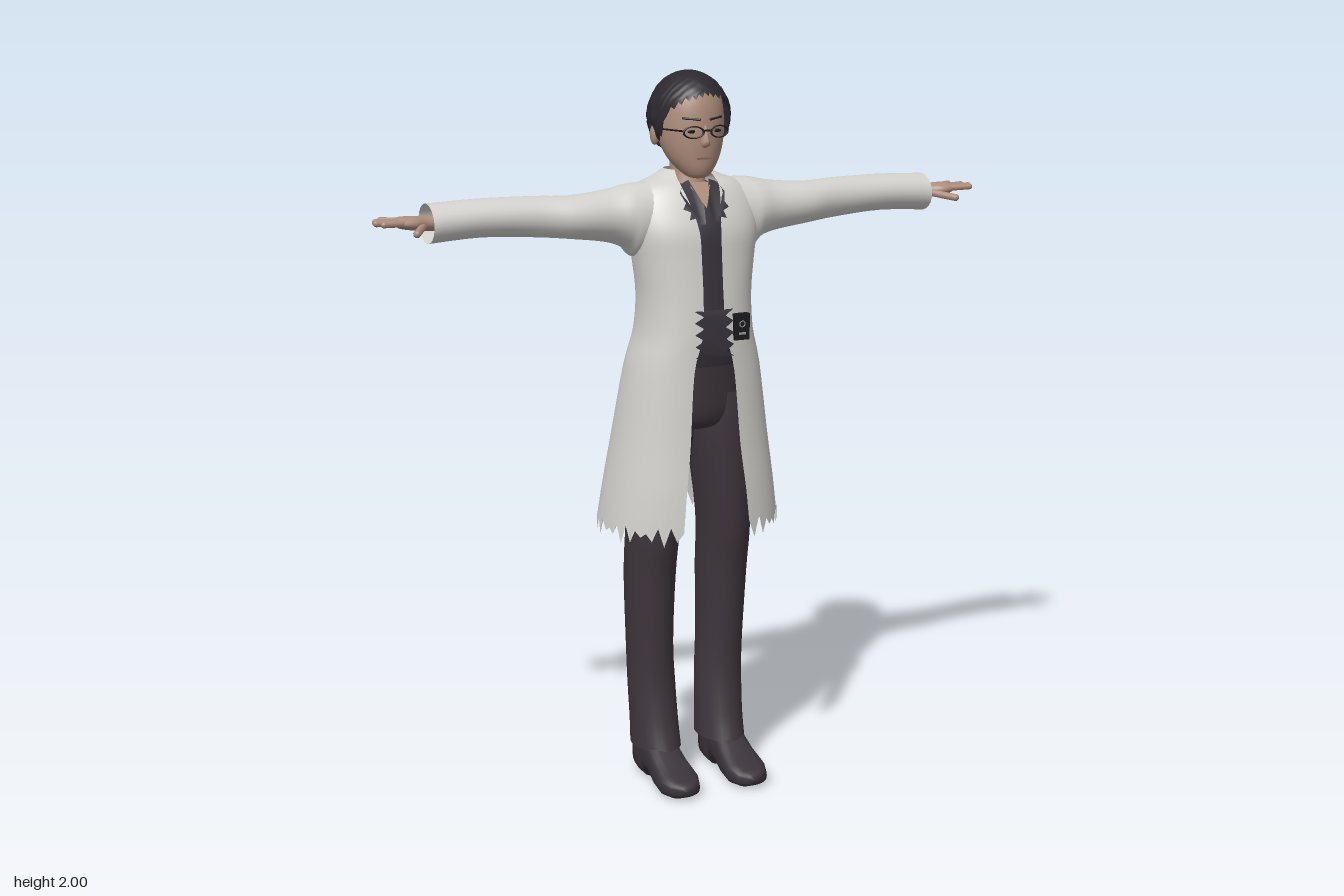
import * as THREE from 'three';
import { mergeVertices } from 'three/addons/utils/BufferGeometryUtils.js';

const mat = (name, color, side = THREE.FrontSide) => {
  const m = new THREE.MeshStandardMaterial({ color, side });
  m.name = name;
  return m;
};

// Catmull-Rom subdivision of a table of cross-sections
function refine(rows, n) {
  const out = [];
  for (let i = 0; i < rows.length - 1; i++) {
    const p = k => rows[Math.min(rows.length - 1, Math.max(0, i + k))];
    for (let s = 0; s < n; s++) {
      const t = s / n;
      out.push(p(0).map((b, c) => {
        const a = p(-1)[c], d = p(1)[c], e = p(2)[c];
        return b + 0.5 * t * (d - a + t * (2 * a - 5 * b + 4 * d - e + t * (3 * (b - d) + e - a)));
      }));
    }
  }
  out.push(rows[rows.length - 1]);
  return out;
}

// Skin a surface over rows of points; point(row, u, isLast)
function loft(rows, seg, point) {
  const pos = [], idx = [];
  rows.forEach((r, i) => {
    for (let j = 0; j <= seg; j++) pos.push(...point(r, j / seg, i === rows.length - 1, j));
  });
  for (let i = 0; i < rows.length - 1; i++) for (let j = 0; j < seg; j++) {
    const a = i * (seg + 1) + j, d = a + seg + 1;
    idx.push(a, d, a + 1, a + 1, d, d + 1);
  }
  let g = new THREE.BufferGeometry();
  g.setAttribute('position', new THREE.Float32BufferAttribute(pos, 3));
  g.setIndex(idx);
  g = mergeVertices(g, 1e-5);
  g.computeVertexNormals();
  return g;
}

const pw = (v, e) => Math.sign(v) * Math.abs(v) ** e;

// Upright body: rows of [y, centreX, halfWidth, zBack, zFront, frontGap]
const body = (rows, { n = 4, seg = 40, e = 1, hem = 0 } = {}) => loft(refine(rows, n), seg, ([y, cx, w, zb, zf, gap = 0], u, last, j) => {
  const a0 = gap ? Math.asin(Math.min(0.99, (gap / w) ** (1 / e))) : 0;
  const a = a0 + u * (2 * Math.PI - 2 * a0);
  const drop = last ? hem * ((j % 2 ? 1 : -0.6) + 0.6 * Math.sin(j * 2.3)) : 0;
  return [cx + w * pw(Math.sin(a), e), y - drop, (zf + zb) / 2 + (zf - zb) / 2 * pw(Math.cos(a), e)];
});

// Sideways limb: rows of [x, yLow, yHigh, zBack, zFront]
const limb = (rows, seg = 24) => loft(refine(rows, 4), seg, ([x, y0, y1, z0, z1], u) => {
  const a = u * 2 * Math.PI;
  return [x, (y0 + y1) / 2 - (y1 - y0) / 2 * Math.cos(a), (z0 + z1) / 2 + (z1 - z0) / 2 * Math.sin(a)];
});

// Rounded rod between two points
function rod(a, b, r) {
  const A = new THREE.Vector3(...a), B = new THREE.Vector3(...b), d = B.clone().sub(A);
  const g = new THREE.CapsuleGeometry(r, d.length(), 4, 8);
  g.applyQuaternion(new THREE.Quaternion().setFromUnitVectors(new THREE.Vector3(0, 1, 0), d.normalize()));
  const m = A.add(B).multiplyScalar(0.5);
  return g.translate(m.x, m.y, m.z);
}

function mirrored(g) {
  const m = g.clone().scale(-1, 1, 1), ix = m.index.array;
  for (let i = 0; i < ix.length; i += 3) [ix[i], ix[i + 1]] = [ix[i + 1], ix[i]];
  return m;
}

export function createModel() {
  const root = new THREE.Group();
  const coatMat = mat('coat cloth', 0xd2d1cd, THREE.DoubleSide);
  const skin = mat('skin', 0xae8d7c);
  const hairMat = mat('hair', 0x2c282f, THREE.DoubleSide);
  const trouserMat = mat('trouser cloth', 0x3e363d, THREE.DoubleSide);
  const shirtMat = mat('shirt cloth', 0x37323a, THREE.DoubleSide);
  const shoeMat = mat('shoe leather', 0x3a343a);
  const black = mat('black plastic', 0x1b1b1e);
  const lip = mat('lips', 0x8a6459);
  const pale = mat('pale detail', 0x9b9b9b);

  const add = (name, g, m) => {
    const mesh = new THREE.Mesh(g, m);
    mesh.name = name;
    root.add(mesh);
  };
  const pair = (name, g, m) => { add('left ' + name, g, m); add('right ' + name, mirrored(g), m); };

  // Long open coat with ragged hem
  const coat = [
    [1.735, 0, 0.06, -0.07, 0.03, 0.048], [1.715, 0, 0.1, -0.08, 0.055, 0.055],
    [1.695, 0, 0.15, -0.085, 0.08, 0.055], [1.65, 0, 0.18, -0.09, 0.11, 0.045],
    [1.58, 0, 0.185, -0.09, 0.14, 0.032], [1.5, 0, 0.172, -0.09, 0.15, 0.03],
    [1.4, 0, 0.16, -0.095, 0.16, 0.03], [1.3, 0, 0.165, -0.11, 0.168, 0.035],
    [1.2, 0, 0.19, -0.13, 0.17, 0.06], [1.0, 0, 0.22, -0.17, 0.18, 0.075],
    [0.87, 0, 0.24, -0.195, 0.19, 0.09], [0.76, 0, 0.255, -0.213, 0.195, 0.1]];
  add('coat', body(coat, { seg: 72, e: 0.88, hem: 0.022 }), coatMat);
  pair('sleeve', limb([
    [0.11, 1.52, 1.708, -0.08, 0.085], [0.17, 1.505, 1.705, -0.085, 0.09], [0.2, 1.532, 1.7, -0.083, 0.087],
    [0.25, 1.55, 1.69, -0.075, 0.078], [0.35, 1.565, 1.682, -0.06, 0.075], [0.45, 1.575, 1.685, -0.06, 0.055],
    [0.6, 1.583, 1.685, -0.078, 0.047], [0.745, 1.575, 1.68, -0.08, 0.045]]), coatMat);

  // Flat cut-outs laid on the chest
  const chestZ = y => {
    const i = Math.max(1, coat.findIndex(r => r[0] <= y));
    const [a, b] = [coat[i - 1], coat[i]];
    return THREE.MathUtils.mapLinear(y, a[0], b[0], a[4], b[4]);
  };
  const patch = (pts, lift) => {
    const g = new THREE.ShapeGeometry(new THREE.Shape(pts.map(p => new THREE.Vector2(...p))));
    const p = g.attributes.position;
    for (let i = 0; i < p.count; i++) p.setZ(i, chestZ(p.getY(i)) + lift - 2 * p.getX(i) ** 2);
    g.computeVertexNormals();
    return g;
  };

  // Shirt, open neck, ragged collar and ragged waist
  add('shirt', body([
    [1.7, 0, 0.05, -0.06, 0.055], [1.66, 0, 0.1, -0.07, 0.09], [1.58, 0, 0.14, -0.07, 0.132],
    [1.5, 0, 0.14, -0.07, 0.142], [1.4, 0, 0.135, -0.07, 0.152], [1.3, 0, 0.14, -0.08, 0.158],
    [1.21, 0, 0.14, -0.09, 0.14]], { e: 0.88 }), shirtMat);
  add('open neck', patch([[-0.036, 1.705], [0, 1.64], [0.036, 1.705]], 0.002), skin);
  pair('shirt collar', patch([[0.03, 1.712], [0.008, 1.648], [0.012, 1.6], [0.035, 1.6], [0.03, 1.618],
    [0.055, 1.612], [0.048, 1.632], [0.068, 1.64], [0.057, 1.655], [0.066, 1.68], [0.05, 1.705]], 0.006), shirtMat);
  const edge = [];
  for (let i = 0; i <= 8; i++) edge.push([i % 2 ? 0.032 : 0.058, 1.37 - i * 0.016]);
  add('ragged shirt waist', patch([...edge.map(([x, y]) => [-x, y]), ...edge.reverse()], 0.005), shirtMat);

  // Trousers
  add('trouser waist', body([[1.28, 0, 0.13, -0.08, 0.14], [1.15, 0, 0.15, -0.1, 0.13], [1.07, 0, 0.155, -0.1, 0.12],
    [1.03, 0, 0.12, -0.08, 0.09], [1.01, 0, 0.001, 0, 0.002]]), trouserMat);
  pair('trouser leg', body([[1.13, 0.078, 0.075, -0.1, 0.12], [1.0, 0.086, 0.083, -0.105, 0.118],
    [0.75, 0.108, 0.071, -0.104, 0.1], [0.6, 0.111, 0.069, -0.112, 0.072], [0.4, 0.109, 0.064, -0.11, 0.055],
    [0.28, 0.105, 0.066, -0.102, 0.052], [0.17, 0.102, 0.066, -0.098, 0.068], [0.1, 0.101, 0.067, -0.1, 0.088]],
    { seg: 28 }), trouserMat);

  // Shoes: rows of [z, halfWidth, yLow, yHigh]
  const shoeRows = [[-0.093, 0, 0.06, 0.06], [-0.092, 0.03, 0, 0.12], [-0.04, 0.044, 0, 0.14], [0, 0.046, 0, 0.14],
    [0.005, 0.046, 0.022, 0.14], [0.05, 0.05, 0.02, 0.125], [0.1, 0.055, 0.003, 0.092], [0.16, 0.06, 0, 0.065],
    [0.2, 0.046, 0.004, 0.052], [0.218, 0.022, 0.012, 0.042], [0.221, 0, 0.026, 0.026]];
  pair('shoe', loft(shoeRows, 24, ([z, w, y0, y1], u) => {
    const a = u * 2 * Math.PI;
    return [0.105 + w * pw(Math.cos(a), 0.7), (y0 + y1) / 2 - (y1 - y0) / 2 * pw(Math.sin(a), 0.7), z];
  }), shoeMat);

  // Hands with four fingers and a thumb
  pair('palm', limb([[0.7, 1.607, 1.653, -0.04, 0.012], [0.75, 1.61, 1.65, -0.038, 0.014], [0.79, 1.615, 1.652, -0.044, 0.034],
    [0.825, 1.622, 1.65, -0.046, 0.032], [0.835, 1.634, 1.636, -0.03, 0.02]], 16), skin);
  [[-0.038, 0.858, -0.056], [-0.016, 0.882, -0.024], [0.004, 0.888, 0.004], [0.023, 0.876, 0.032]].forEach(([z, x, zt], i) =>
    pair('finger ' + (i + 1), rod([0.815, 1.637, z], [x, 1.639, zt], 0.0085), skin));
  pair('thumb', rod([0.765, 1.625, 0.012], [0.803, 1.617, 0.076], 0.0105), skin);

  // Head and neck
  add('head', body([[1.985, 0, 0.001, 0, 0.002], [1.965, 0, 0.065, -0.07, 0.075], [1.92, 0, 0.088, -0.098, 0.1],
    [1.86, 0, 0.093, -0.1, 0.107], [1.81, 0, 0.086, -0.075, 0.106], [1.77, 0, 0.071, -0.045, 0.102],
    [1.74, 0, 0.05, -0.01, 0.097], [1.72, 0, 0.028, 0.03, 0.086], [1.714, 0, 0.001, 0.06, 0.062]]), skin);
  add('neck', body([[1.82, 0, 0.05, -0.06, 0.03], [1.75, 0, 0.046, -0.055, 0.032], [1.69, 0, 0.052, -0.062, 0.045],
    [1.65, 0, 0.07, -0.065, 0.06]]), skin);
  add('nose', loft([[1.86, 0.006, 0.108], [1.82, 0.013, 0.125], [1.808, 0.015, 0.124], [1.8, 0.008, 0.104]], 6,
    ([y, w, z], u) => [w * Math.cos(Math.PI * (1 - u)), y, 0.095 + (z - 0.095) * Math.sin(Math.PI * u)]), skin);
  pair('ear', new THREE.SphereGeometry(1, 12, 8).scale(0.012, 0.03, 0.018).translate(0.098, 1.832, -0.005), skin);
  pair('eye', new THREE.SphereGeometry(1, 10, 6).scale(0.014, 0.005, 0.003).translate(0.036, 1.845, 0.1), black);
  pair('brow', rod([0.016, 1.876, 0.105], [0.056, 1.88, 0.086], 0.0035), hairMat);
  add('mouth', new THREE.BoxGeometry(0.042, 0.005, 0.008).translate(0, 1.772, 0.1), lip);

  // Glasses
  pair('glasses rim', new THREE.TorusGeometry(0.026, 0.003, 6, 20).scale(1.05, 0.6, 1).rotateY(0.2).translate(0.038, 1.844, 0.114), black);
  pair('glasses temple', rod([0.066, 1.848, 0.108], [0.102, 1.848, 0.0], 0.0025), black);
  add('glasses bridge', rod([-0.012, 1.848, 0.119], [0.012, 1.848, 0.119], 0.0025), black);

  // Curly hair: ellipsoid cap whose lower edge follows the hairline
  const hairline = [[0, 1.945], [35, 1.93], [58, 1.9], [72, 1.825], [86, 1.815], [98, 1.85], [118, 1.83], [135, 1.785], [181, 1.77]];
  const lineAt = deg => {
    const i = hairline.findIndex(h => h[0] > deg), [a, b] = [hairline[i - 1], hairline[i]];
    return THREE.MathUtils.mapLinear(deg, a[0], b[0], a[1], b[1]);
  };
  add('hair', loft(Array.from({ length: 21 }, (_, i) => i / 20), 72, (v, u, last, j) => {
    const a = (u % 1) * 2 * Math.PI, deg = Math.min(180, Math.abs(a > Math.PI ? 360 - a * 180 / Math.PI : a * 180 / Math.PI));
    const low = lineAt(deg) + (last ? 0.006 * (j % 2 ? 1 : -1) : 0);
    const phi = v * Math.acos(Math.max(-0.95, (low - 1.875) / 0.125)), s = Math.sin(phi);
    const r = 1 + 0.028 * s * Math.sin(a * 12 + v * 9) * Math.sin(v * 26);
    const fringe = 0.024 * Math.max(0, Math.cos(a)) ** 2 * s;
    return [0.11 * r * s * Math.sin(a), 1.875 + 0.125 * Math.cos(phi), 0.12 * r * s * Math.cos(a) + fringe];
  }), hairMat);

  // Clip-on device and small mark below the nape
  add('device', new THREE.BoxGeometry(0.045, 0.072, 0.018).translate(0.08, 1.32, 0.163), black);
  add('device dial', new THREE.TorusGeometry(0.008, 0.0015, 6, 16).translate(0.08, 1.328, 0.173), pale);
  add('device label', new THREE.BoxGeometry(0.02, 0.006, 0.003).translate(0.08, 1.302, 0.173), pale);
  add('nape tag', new THREE.SphereGeometry(1, 10, 8).scale(0.008, 0.018, 0.005).translate(0, 1.675, -0.089), black);

  return root;
}
